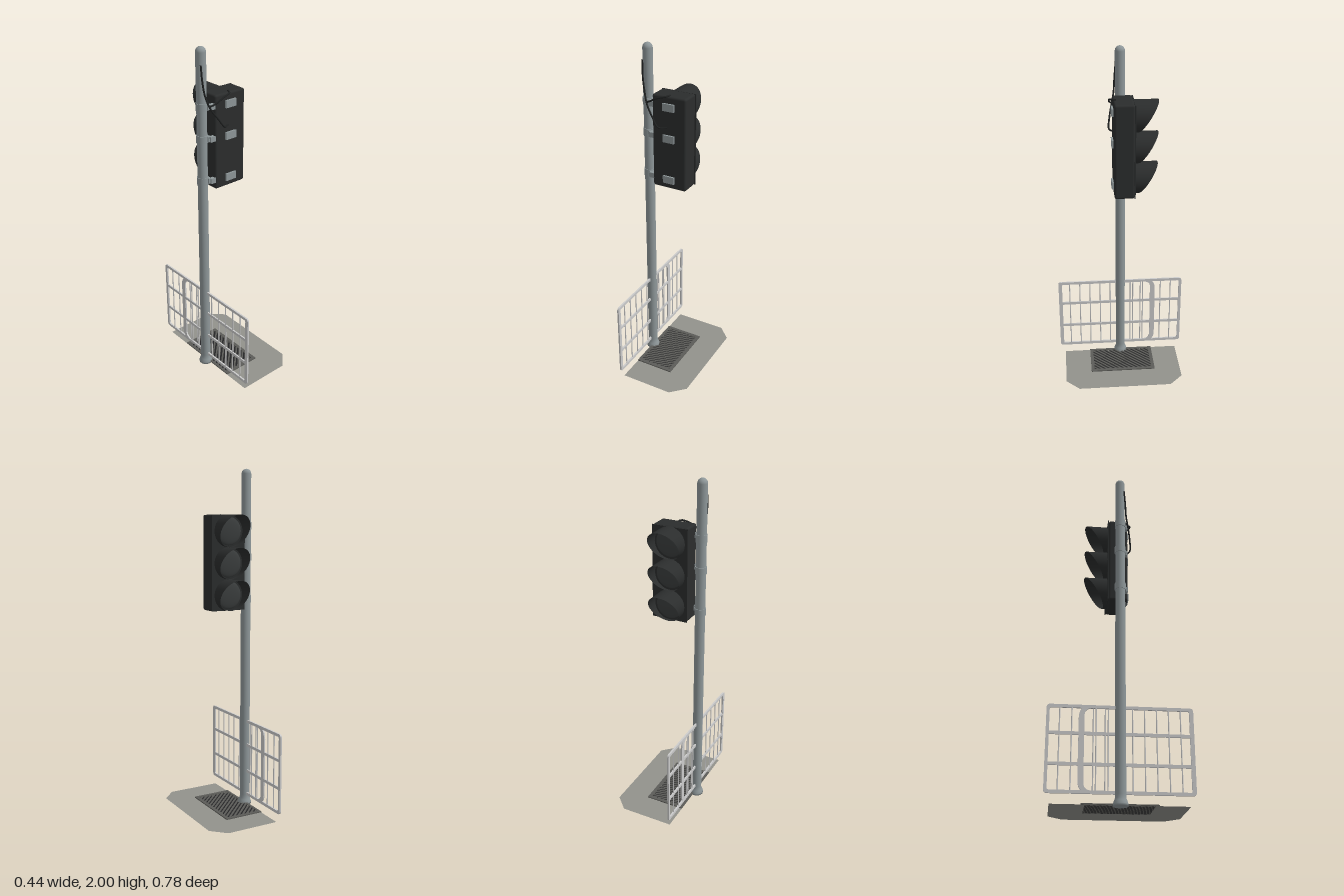
import * as THREE from 'three';
import { RoundedBoxGeometry } from 'three/addons/geometries/RoundedBoxGeometry.js';

const mat = (color, side = THREE.FrontSide) => new THREE.MeshStandardMaterial({ color, side });
const steel = mat(0x8e9799), railing = mat(0xcccccc), black = mat(0x2b2d2d);
const visorMat = mat(0x2b2d2d, THREE.DoubleSide), lensMat = mat(0x3a3d3d), cableMat = mat(0x202222);
const paving = mat(0x92928c, THREE.DoubleSide), iron = mat(0x5c5c58), pit = mat(0x242426, THREE.DoubleSide);

const POLE_X = -0.18, HEAD_X = -0.025;

function add(parent, name, geometry, material, x = 0, y = 0, z = 0) {
  const mesh = new THREE.Mesh(geometry, material);
  mesh.name = name;
  mesh.position.set(x, y, z);
  parent.add(mesh);
  return mesh;
}

function group(parent, name) {
  const g = new THREE.Group();
  g.name = name;
  parent.add(g);
  return g;
}

// Rectangle with rounded corners; separate radii for the low and high x ends
function roundRect(path, x0, x1, y0, y1, ra, rb = ra) {
  path.moveTo(x0 + ra, y0);
  path.lineTo(x1 - rb, y0);
  path.quadraticCurveTo(x1, y0, x1, y0 + rb);
  path.lineTo(x1, y1 - rb);
  path.quadraticCurveTo(x1, y1, x1 - rb, y1);
  path.lineTo(x0 + ra, y1);
  path.quadraticCurveTo(x0, y1, x0, y1 - ra);
  path.lineTo(x0, y0 + ra);
  path.quadraticCurveTo(x0, y0, x0 + ra, y0);
  return path;
}

const polygon = (points) => new THREE.Shape(points.map(([x, y]) => new THREE.Vector2(x, y)));
const extrude = (shape, depth) =>
  new THREE.ExtrudeGeometry(shape, { depth, bevelEnabled: false, curveSegments: 10 });

function buildPole(root) {
  const profile = [[0, 0], [0.04, 0], [0.04, 0.012], [0.034, 0.03], [0.029, 0.042], [0.029, 0.06], [0.028, 1.972]];
  for (let i = 1; i <= 6; i++) {
    const a = (i / 6) * Math.PI / 2;
    profile.push([0.028 * Math.cos(a), 1.972 + 0.028 * Math.sin(a)]);
  }
  add(root, 'pole', new THREE.LatheGeometry(profile.map(([x, y]) => new THREE.Vector2(x, y)), 28), steel, POLE_X);
}

function buildSignalHead(root) {
  const head = group(root, 'signalHead');
  add(head, 'housing', new RoundedBoxGeometry(0.206, 0.54, 0.112, 3, 0.012), black, HEAD_X, 1.47, -0.006);
  add(head, 'facePlate', new THREE.BoxGeometry(0.212, 0.535, 0.006), black, HEAD_X, 1.47, -0.064);
  for (const y of [1.65, 1.47, 1.29]) {
    // Hood tube with its open end cut on a slant
    const r = 0.09;
    const hood = new THREE.CylinderGeometry(r, r, 1, 40, 1, true).rotateX(Math.PI / 2);
    const p = hood.attributes.position;
    for (let i = 0; i < p.count; i++) {
      p.setZ(i, p.getZ(i) > 0 ? -0.06 : -0.143 - 0.057 * (p.getY(i) / r));
    }
    hood.computeVertexNormals();
    add(head, 'visor', hood, visorMat, HEAD_X, y, 0);
    // Shallow domed lens
    const lens = new THREE.SphereGeometry(0.08, 32, 8, 0, Math.PI * 2, 0, Math.PI / 2);
    lens.scale(1, 0.2, 1).rotateX(-Math.PI / 2);
    add(head, 'lens', lens, lensMat, HEAD_X, y, -0.066);
  }
}

function buildBrackets(root) {
  const brackets = group(root, 'brackets');
  for (const y of [1.68, 1.5, 1.255]) {
    add(brackets, 'poleClamp', new THREE.CylinderGeometry(0.032, 0.032, 0.042, 28), steel, POLE_X, y, 0);
    add(brackets, 'clampArm', new THREE.BoxGeometry(0.035, 0.03, 0.022), steel, -0.138, y, 0.036);
    add(brackets, 'clampLug', new THREE.BoxGeometry(0.02, 0.03, 0.03), steel, -0.155, y, 0.02);
    add(brackets, 'backPlate', new THREE.BoxGeometry(0.07, 0.042, 0.012), steel, HEAD_X, y, 0.055);
  }
}

function buildCables(root) {
  const cables = group(root, 'cables');
  const paths = [
    [[-0.198, 1.91, 0.022], [-0.195, 1.82, 0.03], [-0.182, 1.74, 0.036], [-0.16, 1.675, 0.05],
      [-0.12, 1.615, 0.064], [-0.08, 1.563, 0.07], [-0.035, 1.56, 0.045]],
    [[-0.165, 1.685, 0.045], [-0.135, 1.7, 0.062], [-0.09, 1.725, 0.068], [-0.04, 1.74, 0.06], [-0.025, 1.742, 0.032]],
  ];
  for (const path of paths) {
    const curve = new THREE.CatmullRomCurve3(path.map((q) => new THREE.Vector3(...q)));
    add(cables, 'cable', new THREE.TubeGeometry(curve, 36, 0.005, 8), cableMat);
  }
}

function buildFence(root) {
  const fence = group(root, 'guardRail');
  const D = 0.01;
  // Flat frame drawn in the z-y plane, turned to face sideways
  const frame = (name, z0, z1, wide, ra, rb, depth) => {
    const shape = roundRect(new THREE.Shape(), z0, z1, 0.06, 0.53, ra, rb);
    shape.holes.push(roundRect(new THREE.Path(), z0 + wide, z1 - 0.017, 0.077, 0.513, ra * 0.6, rb * 0.6));
    const geometry = extrude(shape, depth).translate(0, 0, -depth / 2).rotateY(-Math.PI / 2);
    add(fence, name, geometry, railing, POLE_X);
  };
  frame('outerFrame', -0.39, 0.39, 0.017, 0.02, 0.02, D);
  frame('curvedFrame', -0.22, 0.385, 0.03, 0.07, 0.015, D * 0.9);
  for (const y of [0.212, 0.375]) {
    add(fence, 'rail', new THREE.BoxGeometry(D * 0.8, 0.017, 0.77), railing, POLE_X, y, 0);
  }
  for (const z of [0.32, 0.256, 0.192, 0.128, 0.064, 0, -0.064, -0.08, -0.128, -0.143, -0.256, -0.32]) {
    add(fence, 'bar', new THREE.CylinderGeometry(0.0035, 0.0035, 0.45, 8), railing, POLE_X, 0.295, z);
  }
}

function buildGround(root) {
  const ground = group(root, 'ground');
  const x0 = -0.16, x1 = 0.04, zMax = 0.18;
  const flat = (geometry) => geometry.rotateX(-Math.PI / 2);
  // Paving sheet with clipped corners and an opening for the grate
  const sheet = polygon([[-0.175, -0.36], [0.14, -0.36], [0.22, -0.28], [0.22, 0.28], [0.14, 0.36], [-0.175, 0.36]]);
  sheet.holes.push(polygon([[x0, -zMax], [x0, zMax], [x1, zMax], [x1, -zMax]]));
  add(ground, 'paving', flat(new THREE.ShapeGeometry(sheet)), paving, 0, 0.008, 0);

  // Grate frame, dark pit and slanted bars
  const rim = polygon([[-0.175, -0.2], [0.06, -0.2], [0.06, 0.2], [-0.175, 0.2]]);
  rim.holes.push(polygon([[x0, -zMax], [x0, zMax], [x1, zMax], [x1, -zMax]]));
  add(ground, 'grateFrame', flat(extrude(rim, 0.006)), iron, 0, 0.009, 0);
  add(ground, 'gratePit', flat(new THREE.PlaneGeometry(x1 - x0, 2 * zMax)), pit, (x0 + x1) / 2, 0.0085, 0);
  const step = 0.029, width = 0.014;
  // Ends of the slanted line x - y = c inside the opening
  const ends = (c) => [Math.max(x0, c - zMax), Math.min(x1, c + zMax)].map((x) => [x, x - c]);
  for (let c = x0 - zMax + 0.008; c + width < x1 + zMax; c += step) {
    const [a, b] = ends(c), [d, e] = ends(c + width);
    add(ground, 'grateBar', flat(extrude(polygon([a, d, e, b]), 0.006)), iron, 0, 0.0075, 0);
  }
}

export function createModel() {
  const root = new THREE.Group();
  root.name = 'trafficLight';
  buildPole(root);
  buildSignalHead(root);
  buildBrackets(root);
  buildCables(root);
  buildFence(root);
  buildGround(root);
  return root;
}
